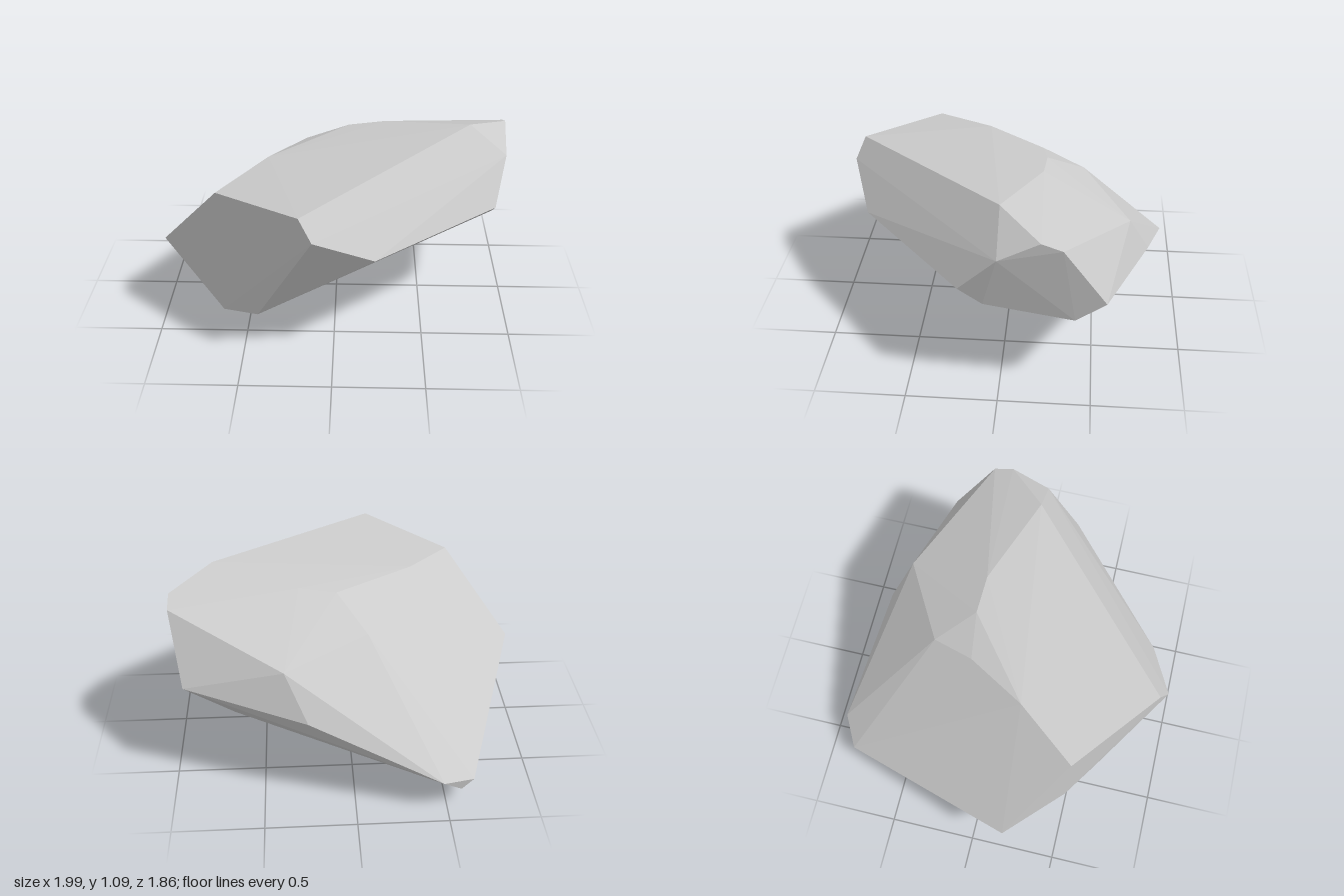
import * as THREE from 'three';
import { ConvexGeometry } from 'three/addons/geometries/ConvexGeometry.js';

// Corners of the boulder, grouped by region
const crown = [
  [0.76, 1.09, 0], [0.99, 1.02, -0.22], [0.99, 0.98, -0.33], [0.28, 1.02, -0.2],
  [0.07, 0.99, -0.21], [-0.18, 0.915, -0.18], [-0.38, 0.945, 0.15],
  [-0.64, 0.89, 0.49], [-0.17, 0.955, 0.88],
];
const frontFace = [
  [-0.1, 0.84, 0.93], [0.22, 0.67, 0.81], [0.91, 0.67, 0.21],
  [-1, 0.43, 0.19], [-0.42, 0.21, 0.64], [-0.63, 0.14, 0.49],
];
const side = [
  [0.98, 0.9, 0], [0.91, 0.58, 0.08], [0.91, 0.5, -0.4], [0.92, 0.62, -0.56],
];
const back = [
  [0.37, 0.78, -0.68], [0.23, 0.82, -0.56], [-0.09, 0.843, -0.42],
  [0.25, 0.53, -0.8], [-0.47, 0.2, -0.93], [-0.65, 0.15, -0.84], [-0.58, 0.1, -0.86],
];
const underside = [[-0.46, 0, -0.31], [0.36, 0.17, -0.1], [0.66, 0.32, -0.38]];

export function createModel() {
  const group = new THREE.Group();
  group.name = 'rock';

  // One faceted solid wrapped around the corners
  const points = [crown, frontFace, side, back, underside]
    .flat()
    .map((p) => new THREE.Vector3(...p));
  const boulder = new THREE.Mesh(
    new ConvexGeometry(points),
    new THREE.MeshStandardMaterial({ color: 0xcccccc, flatShading: true }),
  );
  boulder.name = 'boulder';
  group.add(boulder);
  return group;
}
